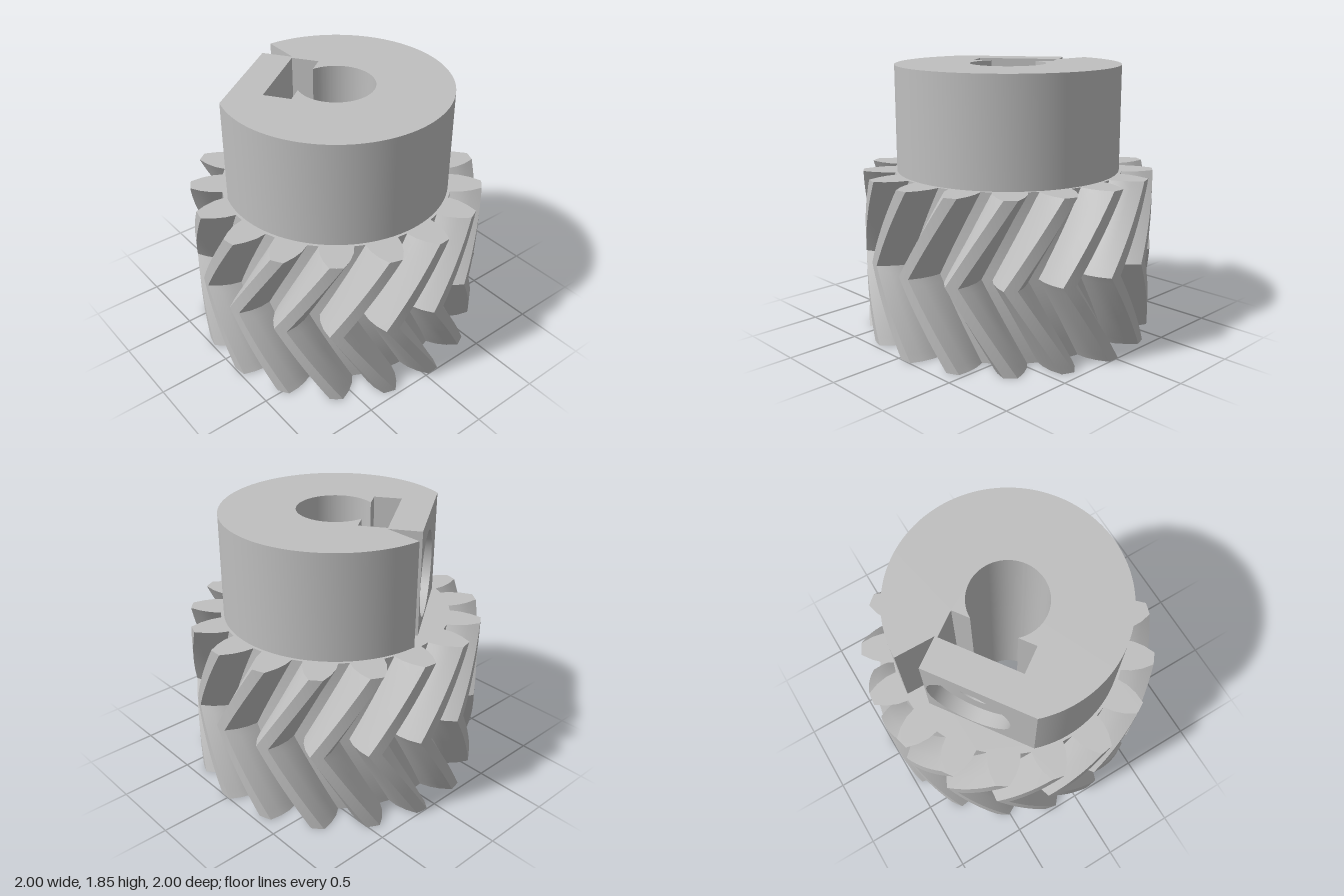
import * as THREE from 'three';
import { toCreasedNormals } from 'three/addons/utils/BufferGeometryUtils.js';

const TEETH = 17, PITCH = (Math.PI * 2) / TEETH, DEG = Math.PI / 180;
const GEAR_H = 1.13, TOTAL_H = 1.85;
const FLAT_ANGLE = 145 * DEG;          // direction of the hub flat around the axis
const HUB_R = 0.77, HUB_FLAT = 0.617;
const BORE_R = 0.26, BORE_FLAT = 0.207;
const SLOT_HALF = 0.283, SLOT_OUT = 0.397;
const NOTCH_HALF = 0.3, SINK_FLOOR = 0.517, SCREW_Y = 1.443;
const boreHalfAngle = Math.acos(BORE_FLAT / BORE_R);

// Extrude a plan shape (x, z) vertically between two heights
function upright(shape, y0, y1, steps = 1) {
  return new THREE.ExtrudeGeometry(shape, { depth: y1 - y0, steps, bevelEnabled: false, curveSegments: 72 })
    .rotateX(Math.PI / 2).translate(0, y1, 0);
}

// Tooth outline: half angle of a tooth (degrees) at each radius
function gearShape() {
  const flank = [[0.79, 8], [0.86, 7], [0.93, 5.1], [1, 2.5]];
  const side = [...flank.map(([r, a]) => [r, -a]), [1, 0], ...flank.map(([r, a]) => [r, a]).reverse()];
  const points = [];
  for (let i = 0; i < TEETH; i++) {
    const centre = 17.2 * DEG - FLAT_ANGLE + i * PITCH;
    for (const [r, a] of side) {
      const t = centre + a * DEG;
      points.push(new THREE.Vector2(r * Math.cos(t), r * Math.sin(t)));
    }
  }
  const shape = new THREE.Shape(points);
  // D-shaped shaft bore
  const bore = new THREE.Path();
  bore.absarc(0, 0, BORE_R, boreHalfAngle, Math.PI * 2 - boreHalfAngle, false);
  bore.closePath();
  shape.holes.push(bore);
  return shape;
}

// Twist the teeth one pitch towards mid height, giving the herringbone
function herringboneGear() {
  const geo = upright(gearShape(), 0, GEAR_H, 24);
  const p = geo.attributes.position;
  for (let i = 0; i < p.count; i++) {
    const x = p.getX(i), y = p.getY(i), z = p.getZ(i);
    if (Math.hypot(x, z) < 0.6) continue;
    const a = PITCH * (1 - Math.abs((2 * y) / GEAR_H - 1));
    p.setXYZ(i, x * Math.cos(a) - z * Math.sin(a), y, x * Math.sin(a) + z * Math.cos(a));
  }
  return geo;
}

// Hub with its flat, nut slot and bore; open where the screw plates sit
function hubShape() {
  const a = Math.acos(HUB_FLAT / HUB_R);
  const s = new THREE.Shape();
  s.moveTo(HUB_FLAT, NOTCH_HALF);
  s.absarc(0, 0, HUB_R, a, Math.PI * 2 - a, false);
  s.lineTo(HUB_FLAT, -NOTCH_HALF);
  s.lineTo(SLOT_OUT, -NOTCH_HALF);
  s.lineTo(SLOT_OUT, -SLOT_HALF);
  s.lineTo(BORE_FLAT, -SLOT_HALF);
  s.absarc(0, 0, BORE_R, Math.PI * 2 - boreHalfAngle, boreHalfAngle, true);
  s.lineTo(BORE_FLAT, SLOT_HALF);
  s.lineTo(SLOT_OUT, SLOT_HALF);
  s.lineTo(SLOT_OUT, NOTCH_HALF);
  s.closePath();
  return s;
}

// Plate behind the flat, with a round hole through it
function screwPlate(from, to, radius) {
  const s = new THREE.Shape();
  s.moveTo(-NOTCH_HALF, GEAR_H);
  s.lineTo(NOTCH_HALF, GEAR_H);
  s.lineTo(NOTCH_HALF, TOTAL_H);
  s.lineTo(-NOTCH_HALF, TOTAL_H);
  s.closePath();
  const hole = new THREE.Path();
  hole.absarc(0, SCREW_Y, radius, 0, Math.PI * 2, true);
  s.holes.push(hole);
  return new THREE.ExtrudeGeometry(s, { depth: to - from, bevelEnabled: false, curveSegments: 48 })
    .rotateY(Math.PI / 2).translate(from, 0, 0);
}

export function createModel() {
  const group = new THREE.Group();
  group.name = 'herringboneGear';
  const grey = new THREE.MeshStandardMaterial({ color: 0xbfbfbf });
  grey.name = 'plain grey';

  const add = (name, geo) => {
    const mesh = new THREE.Mesh(toCreasedNormals(geo, 0.6), grey);
    mesh.name = name;
    mesh.rotation.y = -FLAT_ANGLE;
    group.add(mesh);
  };

  add('toothedWheel', herringboneGear());
  add('hub', upright(hubShape(), GEAR_H, TOTAL_H));
  add('screwHolePlate', screwPlate(SLOT_OUT, SINK_FLOOR, 0.15));
  add('counterborePlate', screwPlate(SINK_FLOOR, HUB_FLAT, 0.29));
  return group;
}
